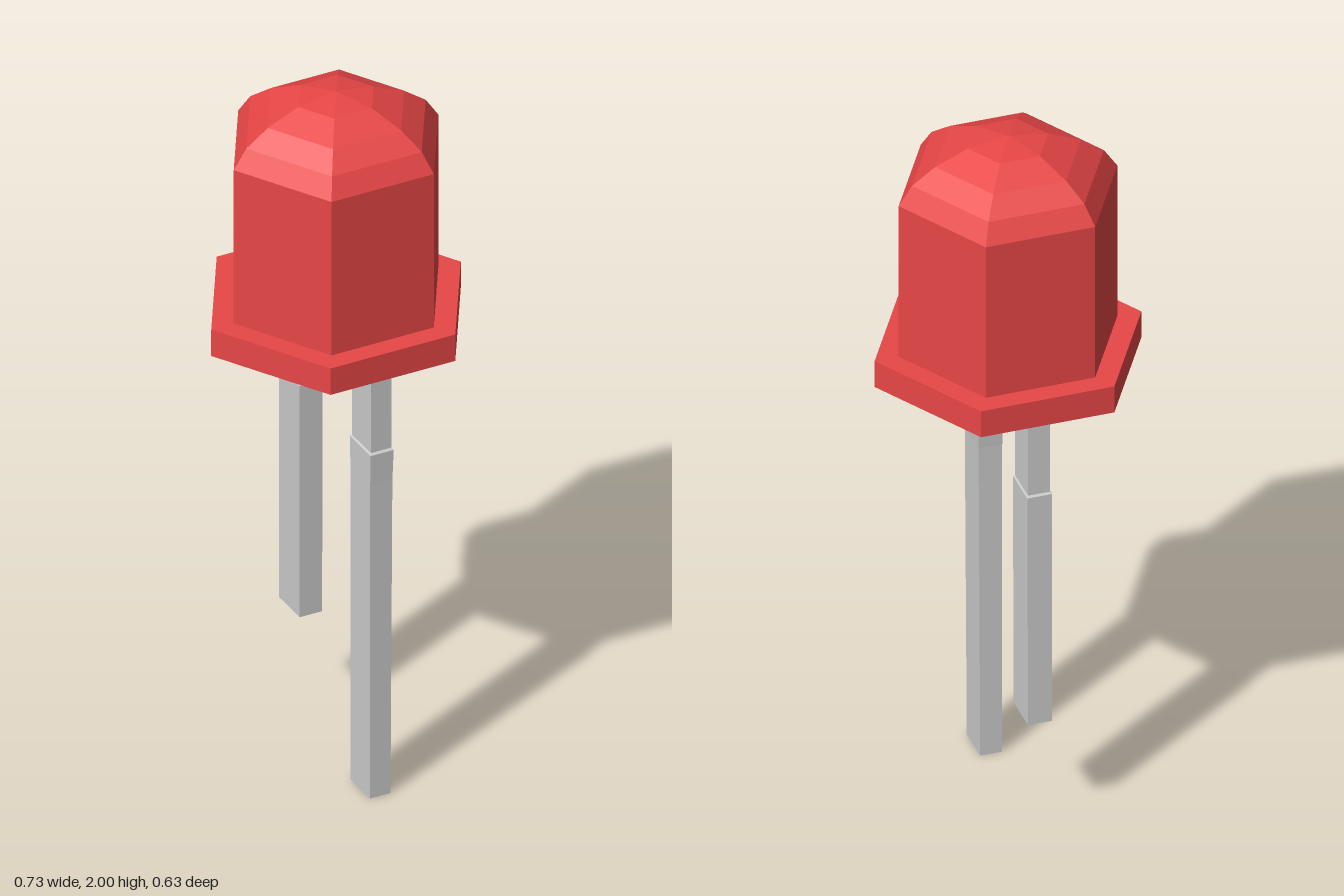
import * as THREE from 'three';

const red = new THREE.MeshStandardMaterial({ color: 0xe84646, flatShading: true });
const grey = new THREE.MeshStandardMaterial({ color: 0xcccccc, flatShading: true });

// Six-sided solid from a profile of [radius, y], corners on the x axis
function hexSolid(name, profile) {
  const points = profile.map(([r, y]) => new THREE.Vector2(r, y));
  const mesh = new THREE.Mesh(new THREE.LatheGeometry(points, 6, Math.PI / 2), red);
  mesh.name = name;
  return mesh;
}

// Square pin through sections [y, xMin, xMax, zMin, zMax], listed top to bottom
function pin(name, sections) {
  const n = sections.length - 1;
  const geometry = new THREE.BoxGeometry(1, 1, 1, 1, n, 1);
  const p = geometry.attributes.position;
  for (let i = 0; i < p.count; i++) {
    const [y, x0, x1, z0, z1] = sections[Math.round((0.5 - p.getY(i)) * n)];
    p.setXYZ(i, p.getX(i) < 0 ? x0 : x1, y, p.getZ(i) < 0 ? z0 : z1);
  }
  geometry.computeVertexNormals();
  const mesh = new THREE.Mesh(geometry, grey);
  mesh.name = name;
  return mesh;
}

export function createModel() {
  const model = new THREE.Group();
  model.name = 'lightEmittingDiode';

  // Base rim
  model.add(hexSolid('rim', [[0, 1.3], [0.366, 1.3], [0.366, 1.38], [0, 1.38]]));

  // Lens with faceted dome
  model.add(hexSolid('lens', [
    [0.3, 1.38], [0.3, 1.845], [0.263, 1.9], [0.2, 1.945], [0.11, 1.983], [0, 2],
  ]));

  // Long front pin and short back pin, each with a slight collar step
  model.add(pin('longPin', [
    [1.3, -0.03, 0.03, 0.147, 0.251],
    [1.045, -0.03, 0.03, 0.147, 0.251],
    [1.04, -0.034, 0.034, 0.141, 0.257],
    [0.95, -0.034, 0.031, 0.145, 0.255],
    [0, -0.034, 0.026, 0.146, 0.254],
  ]));
  model.add(pin('shortPin', [
    [1.3, -0.03, 0.03, -0.248, -0.143],
    [1.045, -0.03, 0.03, -0.248, -0.143],
    [1.04, -0.034, 0.034, -0.253, -0.139],
    [0.34, -0.034, 0.032, -0.254, -0.138],
  ]));

  return model;
}
